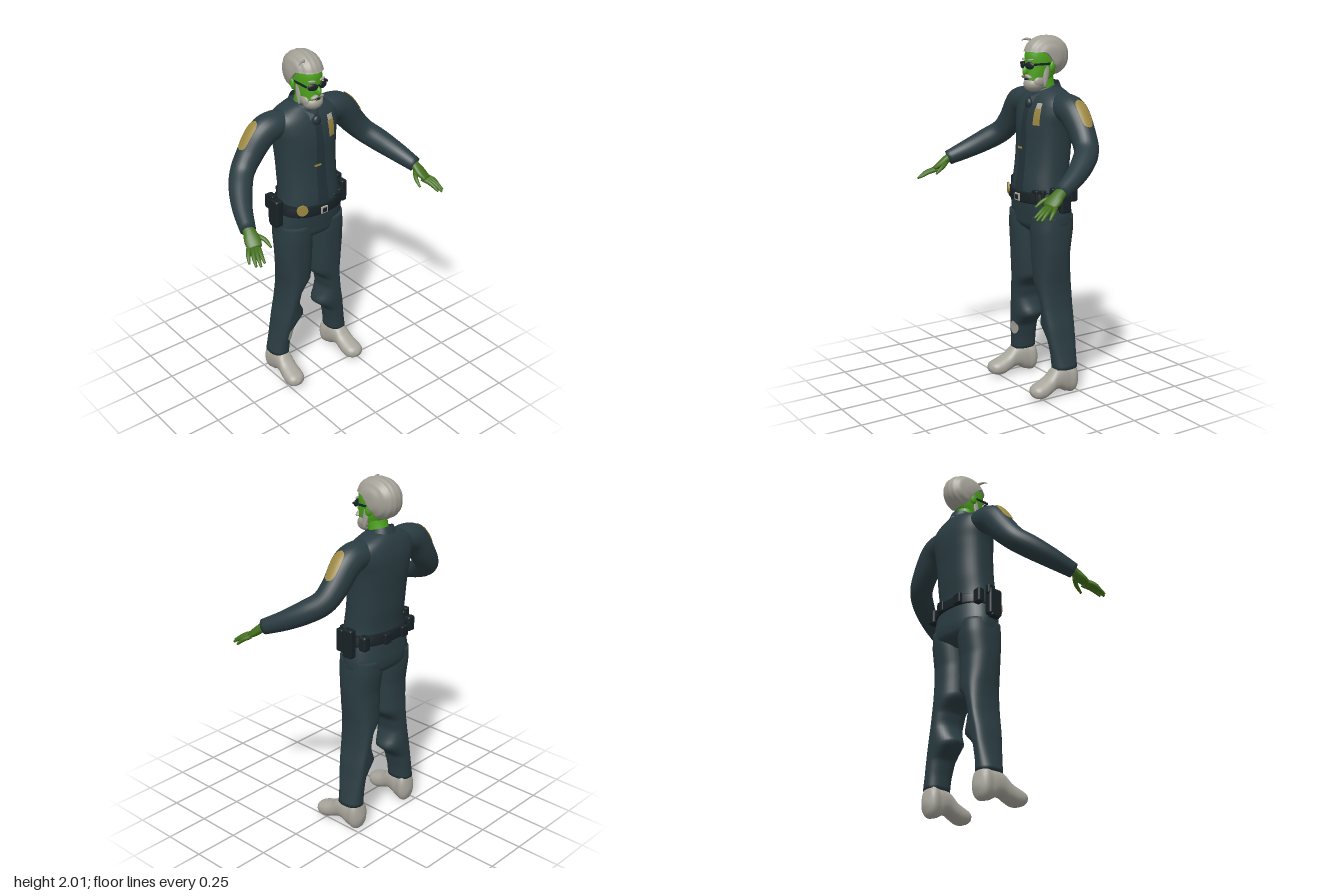
import * as THREE from 'three';
import { RoundedBoxGeometry } from 'three/addons/geometries/RoundedBoxGeometry.js';

const V = (x, y, z) => new THREE.Vector3(x, y, z);
const CX = 0.007; // the body leans a hair to its left

// Rows of [key, ...values] become a function key -> values
function track(rows, Kind = THREE.CubicInterpolant) {
  const size = rows[0].length - 1;
  const it = new Kind(rows.map(r => r[0]), rows.flatMap(r => r.slice(1)), size, new Float32Array(size));
  return t => [...it.evaluate(t)];
}
const steps = (a, b, n) => Array.from({ length: n + 1 }, (_, i) => a + (b - a) * i / n);

// Skin over a list of rings; closed rings get end caps
function loft(rings, closed = true, cap = closed) {
  const n = rings[0].length, pts = rings.flat(), idx = [];
  const m = closed ? n : n - 1;
  for (let i = 0; i < rings.length - 1; i++) for (let j = 0; j < m; j++) {
    const a = i * n + j, b = i * n + (j + 1) % n, c = a + n, d = b + n;
    idx.push(a, c, b, b, c, d);
  }
  if (cap) [0, rings.length - 1].forEach((r, end) => {
    const mid = V(0, 0, 0);
    rings[r].forEach(p => mid.add(p));
    pts.push(mid.divideScalar(n));
    for (let j = 0; j < n; j++) {
      const a = r * n + j, b = r * n + (j + 1) % n;
      idx.push(pts.length - 1, end ? b : a, end ? a : b);
    }
  });
  const g = new THREE.BufferGeometry().setFromPoints(pts);
  g.setIndex(idx);
  g.computeVertexNormals();
  return g;
}

const EXP = 0.88; // slightly squared ellipse
const pw = v => Math.sign(v) * Math.abs(v) ** EXP;
const angles = n => Array.from({ length: n }, (_, i) => i / n * Math.PI * 2);

// Level section: half width, front z, back z; "dip" lowers its front edge
const level = (y, [w, zf, zb], dip = 0) => angles(40).map(a =>
  V(CX + w * pw(Math.cos(a)), y - dip * Math.sin(a), (zf + zb) / 2 + (zf - zb) / 2 * pw(Math.sin(a))));
const frontOf = (x, w, zf, zb) =>
  (zf + zb) / 2 + (zf - zb) / 2 * Math.max(0, 1 - Math.abs(x / w) ** (2 / EXP)) ** (EXP / 2);

// Surface point on a limb through rows [x, y, z, radiusN, radiusB]
function limb(rows, ref) {
  const f = track(rows.map((r, i) => [i, ...r]));
  return (u, a, grow = 0) => {
    const [x, y, z, rn, rb] = f(u), e = 0.02, last = rows.length - 1;
    const p = f(Math.max(0, u - e)), q = f(Math.min(last, u + e));
    const T = V(q[0] - p[0], q[1] - p[1], q[2] - p[2]).normalize();
    const N = ref.clone().addScaledVector(T, -ref.dot(T)).normalize();
    const B = N.clone().cross(T);
    return V(x, y, z).addScaledVector(N, (rn + grow) * Math.cos(a)).addScaledVector(B, (rb + grow) * Math.sin(a));
  };
}
const limbGeo = (rows, ref, n = 16, k = 5) => {
  const at = limb(rows, ref);
  return loft(steps(0, rows.length - 1, (rows.length - 1) * k).map(u => angles(n).map(a => at(u, a))));
};

export function createModel() {
  const g = new THREE.Group();
  g.name = 'officer';
  const mat = (name, color, both) => {
    const m = new THREE.MeshStandardMaterial({ color });
    m.name = name;
    if (both) m.side = THREE.DoubleSide;
    return m;
  };
  const cloth = mat('darkTealCloth', 0x2a3c42, true), tieCloth = mat('tieCloth', 0x223238, true);
  const skin = mat('greenSkin', 0x4da31c), glove = mat('greenHands', 0x44701c);
  const grey = mat('greyHair', 0xa3a096), pale = mat('paleGrey', 0xa8a69c, true);
  const gold = mat('gold', 0x9c8740, true), black = mat('blackLeather', 0x182226, true);
  const add = (name, geo, m) => {
    const mesh = new THREE.Mesh(geo, m);
    mesh.name = name;
    g.add(mesh);
    return mesh;
  };
  const ball = (name, m, p, s, rot = [0, 0, 0]) => {
    const b = add(name, new THREE.SphereGeometry(1, 24, 16), m);
    b.position.set(...p); b.scale.set(...s); b.rotation.set(...rot);
    return b;
  };
  const box = (name, m, p, s, ry = 0) => {
    const b = add(name, new RoundedBoxGeometry(...s, 2, Math.min(...s) * 0.25), m);
    b.position.set(...p); b.rotation.y = ry;
    return b;
  };

  // Shirt
  const torso = track([
    [1.10, .195, -.005, -.268], [1.18, .18, -.005, -.265], [1.30, .176, -.02, -.28], [1.42, .18, -.03, -.29],
    [1.52, .19, -.035, -.30], [1.60, .208, -.05, -.30], [1.66, .20, -.075, -.285], [1.695, .14, -.10, -.27],
    [1.72, .07, -.12, -.25]]);
  add('shirt', loft(steps(1.10, 1.72, 40).map(y => level(y, torso(y)))), cloth);

  // Thin plates that follow the shirt front: span(y) gives [left, right]
  const plate = (name, m, zAt, y0, y1, span, off) => add(name, loft(steps(y0, y1, 14).map(y => {
    const [a, b] = span(y);
    return steps(b, a, 6).map(x => V(x, y, zAt(x, y) + off));
  }), false), m);
  const chest = (x, y) => frontOf(x - CX, ...torso(y));
  plate('tie', tieCloth, chest, 1.13, 1.63, y => {
    const w = .02 + .018 * (1.63 - y) / .5;
    return [.01 - w, .01 + w];
  }, .009);
  ball('tieKnot', tieCloth, [.01, 1.635, -.058], [.026, .03, .018]);
  plate('tieClip', gold, chest, 1.385, 1.397, () => [-.035, .008], .012);
  plate('chestBadge', gold, chest, 1.525, 1.615, () => [.08, .125], .006);
  plate('chestBadgeTop', pale, chest, 1.615, 1.645, () => [.084, .122], .006);

  // Collar: a band higher at the nape, and two wings
  add('collar', loft([[1.69, [.082, -.085, -.26]], [1.73, [.068, -.10, -.245]]]
    .map(([y, s]) => level(y, s, .022)), true, false), cloth);
  for (const s of [1, -1]) {
    const wing = new THREE.Shape([[0, 0], [.075, .055], [.085, .01], [.045, -.035]].map(p => new THREE.Vector2(s * p[0], p[1])));
    const w = add('collarWing', new THREE.ExtrudeGeometry(wing, { depth: .008, bevelEnabled: false }), cloth);
    w.position.set(CX, 1.665, -.075);
    w.rotation.set(-.5, s * .35, 0);
  }

  // Trousers: hips, then legs with torn inner edges [y, inner, outer, front z, back z]
  const hips = track([[.91, .10, -.08, -.21], [.95, .195, -.03, -.265], [1.0, .212, -.02, -.28],
    [1.06, .208, -.012, -.277], [1.14, .195, -.006, -.268]]);
  add('hips', loft(steps(.91, 1.14, 14).map(y => level(y, hips(y)))), cloth);
  const legRows = [[.15, .155, .272, -.09, -.24], [.22, .15, .255, -.085, -.24], [.31, .132, .235, -.072, -.243],
    [.39, .045, .222, -.062, -.245], [.44, .073, .21, -.057, -.247], [.49, .093, .2, -.052, -.248],
    [.57, .078, .193, -.045, -.25], [.635, .008, .193, -.04, -.25], [.72, .007, .203, -.035, -.246],
    [.82, .006, .211, -.03, -.246], [.94, .002, .212, -.022, -.265], [1.02, .002, .208, -.025, -.265]];
  const leg = track(legRows, THREE.LinearInterpolant);
  const legMid = y => THREE.MathUtils.lerp(.212, .107, THREE.MathUtils.smoothstep(y, .15, .85));
  for (const s of [1, -1]) {
    add('trouserLeg', loft(steps(.15, 1.02, 48).map(y => {
      const [xi, xo, zf, zb] = leg(y), c = legMid(y);
      return angles(36).map(a => {
        const k = pw(Math.cos(a));
        return V(CX + s * (c + k * (k > 0 ? xo - c : c - xi)), y, (zf + zb) / 2 + s * (zf - zb) / 2 * pw(Math.sin(a)));
      });
    })), cloth);

    // Shoe: rows [z, half width, bottom, top]
    const shoe = track([[-.246, .02, .05, .09], [-.235, .046, .015, .145], [-.17, .055, .004, .17], [-.125, .054, .028, .167],
      [-.09, .052, .03, .155], [-.05, .055, .015, .118], [0, .058, 0, .095], [.04, .05, .008, .08],
      [.058, .032, .02, .068], [.066, .008, .035, .052]]);
    add('shoe', loft(steps(-.246, .066, 36).map(z => {
      const [w, y0, y1] = shoe(z), cx = CX + s * (.214 + (z + .1) * .06);
      return angles(28).map(a => V(cx + w * pw(Math.cos(a)), (y0 + y1) / 2 - (y1 - y0) / 2 * pw(Math.sin(a)), z));
    })), pale);

    // Sleeve and its oval shoulder patch
    const at = s > 0 ? 0.004 : -0.004;
    const arm = [[.08, 1.625, -.18, .06, .07], [.19, 1.622, -.18, .078, .08], [.265, 1.592, -.18, .082, .078],
      [.345, 1.495, -.178, .074, .07], [.41, 1.42, -.155, .066, .066], [.47, 1.365, -.085, .064, .062],
      [.525, 1.31, .01, .055, .052], [.57, 1.258, .12, .042, .042]]
      .map(r => [s * r[0] + at, ...r.slice(1)]);
    const ref = V(s * .7, .7, 0);
    add('sleeve', limbGeo(arm, ref, 24, 6), cloth);
    const skinAt = limb(arm, ref);
    add('shoulderPatch', loft(steps(-1, 1, 16).map(t => {
      const half = .45 * (1 - Math.abs(t) ** 3) ** .5;
      return steps(-half, half, 6).map(a => skinAt(2.4 + t * .62, a, .005));
    }), false), gold);

    // Hand: palm, four fingers and a thumb
    const flip = rows => rows.map(r => [s * r[0] + at, ...r.slice(1)]);
    const flat = V(s * .9, -.4, 0);
    add('palm', limbGeo(flip([[.563, 1.268, .10, .03, .026], [.57, 1.248, .135, .035, .024],
      [.578, 1.222, .17, .043, .021], [.588, 1.198, .205, .038, .014]]), flat), glove);
    [[.562, 1.2, .19, .592, 1.155, .295], [.581, 1.198, .2, .618, 1.146, .3], [.599, 1.195, .2, .638, 1.145, .285],
      [.613, 1.195, .185, .652, 1.146, .245], [.55, 1.235, .145, .508, 1.185, .235]].forEach(([x, y, z, X, Y, Z], i) => {
      const mid = [(x + X) / 2 + (i === 4 ? -.012 : .004), (y + Y) / 2 + .006, (z + Z) / 2];
      add(i === 4 ? 'thumb' : 'finger', limbGeo(flip([[x, y, z, .013, .013], [...mid, .012, .012],
        [X, Y, Z, .006, .006]]), flat, 10, 4), glove);
    });
  }
  // Bare patch on the right shin
  plate('shinPatch', pale, (x, y) => {
    const [xi, xo, zf, zb] = leg(y), c = legMid(y), k = -(x - CX) - c;
    return frontOf(k, k > 0 ? xo - c : c - xi, zf, zb);
  }, .245, .332, y => {
    const h = .023 * Math.sqrt(Math.max(0, 1 - ((y - .2885) / .0436) ** 2));
    const c = -.168 + (y - .29) * .15;
    return [c - h, c + h];
  }, .005);

  // Belt and its gear
  add('belt', loft([[1.105, [.203, .006, -.279]], [1.112, [.208, .011, -.283]], [1.158, [.202, .011, -.281]],
    [1.165, [.196, .004, -.275]]].map(([y, s]) => level(y, s, .012))), black);
  box('buckle', pale, [CX, 1.12, .012], [.045, .042, .012]);
  box('buckleCentre', black, [CX, 1.12, .016], [.03, .026, .01]);
  const disc = add('beltBadge', new THREE.CylinderGeometry(.032, .032, .009, 20), gold);
  disc.position.set(-.125, 1.145, -.012);
  disc.rotation.set(Math.PI / 2, 0, .45);
  [[.215, 1.13, -.09, .035, .13, .045], [.222, 1.13, -.155, .042, .165, .065], [.185, 1.14, -.232, .05, .085, .05],
    [.125, 1.14, -.03, .05, .065, .03], [.165, 1.14, -.05, .035, .07, .03], [-.19, 1.14, -.225, .05, .085, .04],
    [.06, 1.145, -.283, .05, .06, .025], [-.08, 1.145, -.28, .05, .06, .025]]
    .forEach(([x, y, z, ...s]) => box('pouch', black, [x, y, z], s));
  box('holster', black, [-.213, 1.115, -.14], [.05, .16, .085]);
  box('holsterTip', black, [-.218, 1.05, -.14], [.04, .05, .06]);
  box('pistolGrip', black, [-.218, 1.185, -.165], [.03, .055, .05]);

  // Neck and head
  add('neck', limbGeo([[CX, 1.66, -.18, .056, .062], [CX, 1.74, -.162, .053, .055], [CX, 1.80, -.15, .053, .06]], V(1, 0, 0), 24), skin);
  const head = track([[1.705, .025, -.07, -.12], [1.73, .045, -.05, -.16], [1.78, .06, -.048, -.21], [1.84, .069, -.05, -.24],
    [1.90, .071, -.048, -.25], [1.95, .062, -.07, -.24], [1.98, .03, -.11, -.2]]);
  add('head', loft(steps(1.705, 1.98, 24).map(y => level(y, head(y)))), skin);
  ball('nose', skin, [CX, 1.812, -.042], [.013, .026, .022], [-.25, 0, 0]);
  ball('beard', grey, [CX, 1.738, -.092], [.057, .042, .056]);
  ball('mouth', black, [CX, 1.767, -.045], [.017, .006, .01]);
  for (const s of [1, -1]) {
    ball('ear', skin, [CX + s * .076, 1.835, -.165], [.012, .032, .02], [-.2, s * .3, 0]);
    ball('moustache', grey, [CX + s * .02, 1.782, -.045], [.025, .01, .014], [0, s * .3, -s * .35]);
    ball('sideburn', grey, [CX + s * .06, 1.81, -.135], [.011, .085, .018], [-.15, 0, s * .06]);
    ball('jawBeard', grey, [CX + s * .046, 1.757, -.105], [.016, .03, .042], [.3, 0, 0]);
    ball('eyebrow', grey, [CX + s * .034, 1.872, -.05], [.022, .006, .008], [0, s * .3, s * .1]);
    // Dark glasses
    ball('lens', black, [CX + s * .034, 1.842, -.043], [.03, .02, .009], [0, s * .3, 0]);
    box('glassesArm', black, [CX + s * .07, 1.85, -.11], [.006, .012, .12]);
  }
  box('glassesBridge', black, [CX, 1.848, -.036], [.02, .007, .008]);

  // Swept-back hair, cut off along a line from forehead to nape
  const hair = new THREE.SphereGeometry(1, 64, 40), hp = hair.attributes.position;
  for (let i = 0; i < hp.count; i++) {
    const x = hp.getX(i), y = hp.getY(i), z = hp.getZ(i);
    const ripple = 1 + .014 * Math.sin(x * 22 + z * 2);
    const Z = -.172 + z * .131 * ripple;
    const low = THREE.MathUtils.lerp(1.915, 1.78, THREE.MathUtils.smoothstep(-Z, .11, .235));
    hp.setXYZ(i, CX + pw(x) * .091 * ripple, Math.max(low, 1.888 + pw(y) * .111 * ripple), Z);
  }
  hair.computeVertexNormals();
  add('hair', hair, grey);
  add('strayLock', limbGeo([[-.04, 1.975, -.10, .008, .008], [-.07, 1.976, -.09, .006, .006], [-.092, 1.968, -.08, .002, .002]],
    V(0, 1, 0), 8, 4), grey);
  return g;
}
